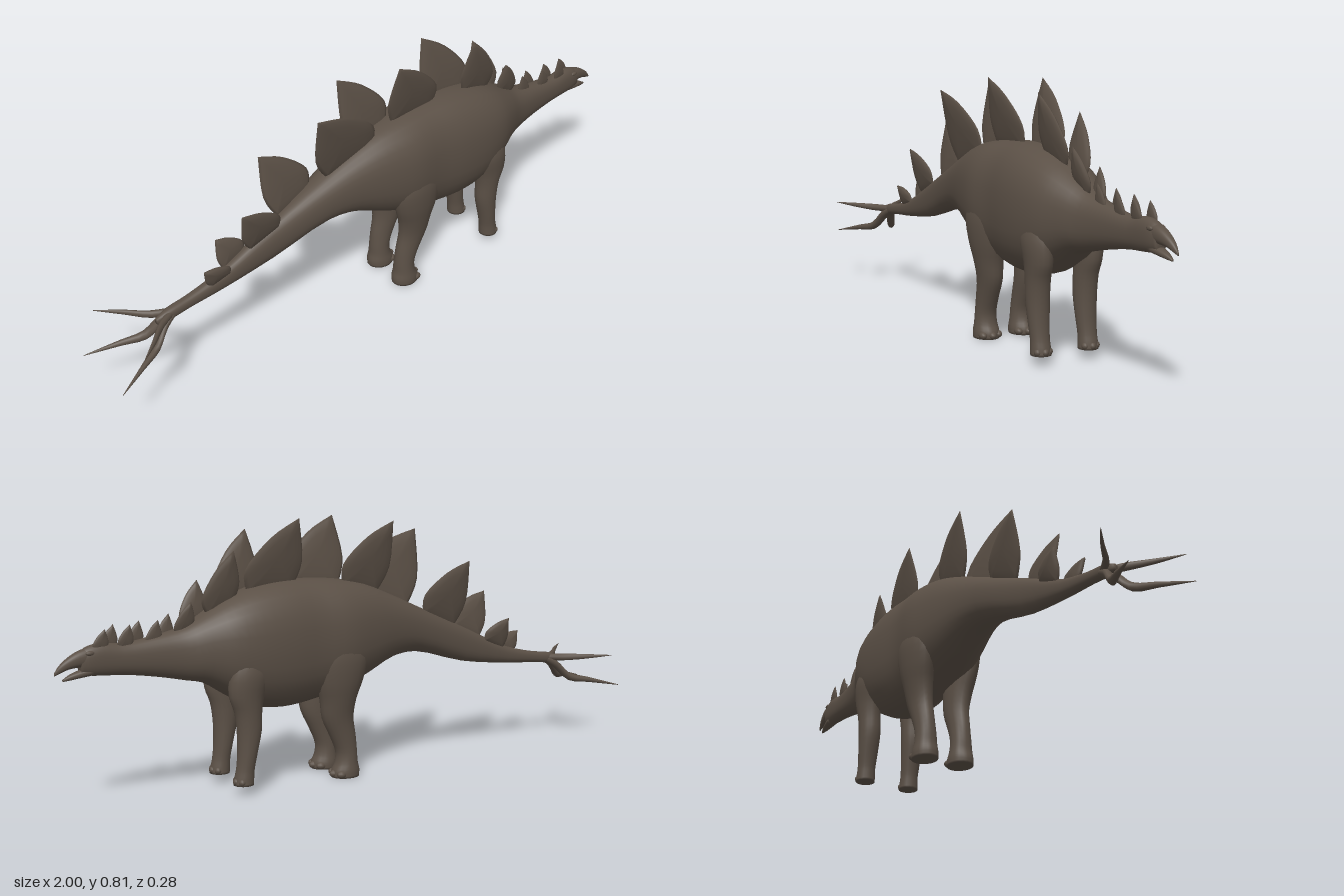
import * as THREE from 'three';

const V = (x, y, z) => new THREE.Vector3(x, y, z);
const hide = new THREE.MeshStandardMaterial({ color: 0x5b5046 });
hide.name = 'brown hide';

// Closed skin through a list of rings; steps > 1 smooths along the length
function loft(rings, steps = 1) {
  const n = rings[0].length;
  if (steps > 1) {
    const columns = rings[0].map((_, j) =>
      new THREE.CatmullRomCurve3(rings.map(r => r[j])).getPoints((rings.length - 1) * steps));
    rings = columns[0].map((_, i) => columns.map(c => c[i]));
  }
  const m = rings.length;
  const middle = r => r.reduce((s, p) => s.add(p), V(0, 0, 0)).divideScalar(n);
  const pts = [...rings.flat(), middle(rings[0]), middle(rings[m - 1])];
  const index = [];
  for (let j = 0; j < n; j++) {
    const k = (j + 1) % n;
    for (let i = 0; i < m - 1; i++) {
      const a = i * n + j, b = i * n + k;
      index.push(a, b, a + n, b, b + n, a + n);
    }
    index.push(m * n, k, j, m * n + 1, (m - 1) * n + j, (m - 1) * n + k);
  }
  // Turn the faces outward if the enclosed volume is negative
  let volume = 0;
  const cross = new THREE.Vector3();
  for (let i = 0; i < index.length; i += 3)
    volume += pts[index[i]].dot(cross.crossVectors(pts[index[i + 1]], pts[index[i + 2]]));
  if (volume < 0) index.reverse();
  const geo = new THREE.BufferGeometry().setFromPoints(pts);
  geo.setIndex(index);
  geo.computeVertexNormals();
  return geo;
}

const power = (v, e) => Math.sign(v) * Math.abs(v) ** e;
const around = (n, f) => Array.from({ length: n }, (_, i) => f(i / n * Math.PI * 2));

// Upright cross-section: x, top, bottom, half width
const slice = ([x, top, bottom, w]) => around(28, a => V(x,
  (top + bottom) / 2 + (top - bottom) / 2 * power(Math.sin(a), 0.86), w * power(Math.cos(a), 0.86)));
// Level cross-section: x, y, z, radius x, radius z
const level = side => ([x, y, z, rx, rz]) =>
  around(18, a => V(x + rx * Math.cos(a), y, side * (z + rz * Math.sin(a))));
// Round cross-section of a tail spike: x, y, z, radius
const spikeRing = side => ([x, y, z, r]) =>
  around(10, a => V(x, y + r * Math.cos(a), side * (z + r * Math.sin(a))));

// Leaf-shaped plate: base back x/y, base front x/y, tip x/y, side, sideways lean
function plate([x0, y0, x1, y1, tx, ty], side, lean = 0.17) {
  const tip = new THREE.Vector2(tx, ty);
  const back = new THREE.Vector2(x0, y0 - 0.015), front = new THREE.Vector2(x1, y1 - 0.015);
  const bulge = (end, t, k) => {
    const d = end.clone().sub(tip);
    return tip.clone().addScaledVector(d, t).add(new THREE.Vector2(-d.y, d.x).multiplyScalar(k));
  };
  const backEdge = new THREE.SplineCurve([back, bulge(back, 0.6, -0.12), tip]).getPoints(8);
  const frontEdge = new THREE.SplineCurve(
    [tip, bulge(front, 0.36, 0.16), bulge(front, 0.8, 0.2), front]).getPoints(12);
  const outline = [...backEdge, ...frontEdge.slice(1)];
  const centre = outline.reduce((s, p) => s.add(p), new THREE.Vector2()).divideScalar(outline.length);
  const thick = Math.min(0.011, (x1 - x0) * 0.16), base = Math.min(y0, y1);
  const layers = [[0.3, 1], [0.65, 0.8], [0.9, 0.45], [1, 0], [0.9, -0.45], [0.65, -0.8], [0.3, -1]];
  return loft(layers.map(([s, t]) => outline.map(p => {
    const q = centre.clone().lerp(p, s);
    return V(q.x, q.y, side * (0.012 + lean * (q.y - base)) + t * thick);
  })));
}

export function createModel() {
  const model = new THREE.Group();
  model.name = 'platedDinosaur';
  const add = (name, geo) => {
    const mesh = new THREE.Mesh(geo, hide);
    mesh.name = name;
    model.add(mesh);
    return mesh;
  };

  // Tail, trunk, neck and skull in one skin
  add('body', loft([
    [-0.81, 0.283, 0.263, 0.008], [-0.77, 0.298, 0.262, 0.016], [-0.7, 0.308, 0.27, 0.017],
    [-0.58, 0.338, 0.28, 0.022], [-0.4, 0.42, 0.305, 0.034], [-0.2, 0.51, 0.358, 0.062],
    [-0.1, 0.555, 0.348, 0.083], [0, 0.595, 0.305, 0.108], [0.1, 0.615, 0.268, 0.127],
    [0.2, 0.623, 0.245, 0.123], [0.3, 0.623, 0.236, 0.131], [0.4, 0.608, 0.25, 0.13],
    [0.48, 0.58, 0.293, 0.116], [0.55, 0.542, 0.336, 0.085], [0.61, 0.51, 0.35, 0.058],
    [0.7, 0.49, 0.37, 0.04], [0.8, 0.477, 0.386, 0.03], [0.86, 0.484, 0.39, 0.027],
    [0.9, 0.478, 0.394, 0.024], [0.925, 0.465, 0.4, 0.018],
  ].map(slice), 3));

  // Open beak
  add('upperBeak', loft([[0.89, 0.477, 0.418, 0.022], [0.93, 0.466, 0.42, 0.019],
    [0.96, 0.45, 0.417, 0.014], [0.985, 0.43, 0.408, 0.008], [1, 0.41, 0.402, 0.002]].map(slice), 3));
  add('lowerJaw', loft([[0.89, 0.422, 0.394, 0.02], [0.925, 0.412, 0.39, 0.016],
    [0.955, 0.402, 0.386, 0.01], [0.976, 0.39, 0.384, 0.003]].map(slice), 3));

  const hindLeg = [[0.13, 0.47, 0.08, 0.05, 0.025], [0.12, 0.39, 0.083, 0.09, 0.044],
    [0.122, 0.31, 0.08, 0.08, 0.044], [0.124, 0.25, 0.072, 0.062, 0.041],
    [0.122, 0.19, 0.066, 0.053, 0.036], [0.103, 0.13, 0.064, 0.043, 0.033],
    [0.09, 0.08, 0.063, 0.035, 0.033], [0.09, 0.045, 0.063, 0.037, 0.036],
    [0.093, 0.02, 0.063, 0.046, 0.04], [0.094, 0, 0.063, 0.046, 0.04]];
  const foreLeg = [[0.43, 0.44, 0.08, 0.045, 0.025], [0.435, 0.37, 0.084, 0.065, 0.042],
    [0.445, 0.3, 0.083, 0.056, 0.038], [0.44, 0.25, 0.081, 0.043, 0.036],
    [0.437, 0.19, 0.08, 0.038, 0.035], [0.445, 0.12, 0.08, 0.03, 0.032],
    [0.452, 0.075, 0.08, 0.028, 0.029], [0.456, 0.05, 0.08, 0.03, 0.03],
    [0.458, 0.03, 0.08, 0.031, 0.031]];
  const lowSpike = [[-0.74, 0.285, 0, 0.012], [-0.79, 0.258, 0.012, 0.016],
    [-0.835, 0.212, 0.034, 0.014], [-0.9, 0.198, 0.064, 0.009], [-1, 0.176, 0.108, 0.001]];
  const highSpike = [[-0.75, 0.283, 0, 0.01], [-0.81, 0.281, 0.03, 0.012],
    [-0.87, 0.286, 0.085, 0.008], [-0.935, 0.292, 0.139, 0.001]];

  for (const [side, label] of [[1, 'right'], [-1, 'left']]) {
    // Legs with three blunt toes each
    add(label + 'HindLeg', loft(hindLeg.map(level(side)), 3));
    add(label + 'ForeLeg', loft(foreLeg.map(level(side)), 3));
    for (let i = -1; i <= 1; i++) {
      const spread = Math.abs(i);
      const hindToe = add(label + 'HindToe', new THREE.SphereGeometry(0.014, 12, 8));
      hindToe.scale.set(1.2, 0.85, 0.9);
      hindToe.position.set(0.133 - 0.012 * spread, 0.012, side * 0.063 + i * 0.026);
      const foreToe = add(label + 'ForeToe', new THREE.SphereGeometry(0.011, 12, 8));
      foreToe.position.set(0.482 - 0.01 * spread, 0.041, side * 0.08 + i * 0.019);
    }
    // Paired tail spikes
    add(label + 'LowerTailSpike', loft(lowSpike.map(spikeRing(side)), 3));
    add(label + 'UpperTailSpike', loft(highSpike.map(spikeRing(side)), 3));
    // Brow bump
    const brow = add(label + 'Brow', new THREE.SphereGeometry(0.009, 12, 8));
    brow.scale.set(1.5, 0.8, 0.7);
    brow.position.set(0.9, 0.46, side * 0.019);
  }

  // Back plates, alternating sides from tail to neck
  [
    [-0.62, 0.325, -0.55, 0.345, -0.65, 0.382], [-0.56, 0.345, -0.48, 0.38, -0.573, 0.437],
    [-0.475, 0.39, -0.37, 0.43, -0.515, 0.527], [-0.355, 0.44, -0.23, 0.49, -0.392, 0.643],
    [-0.18, 0.515, -0.01, 0.565, -0.243, 0.748], [-0.05, 0.57, 0.07, 0.6, -0.093, 0.787],
    [0.075, 0.605, 0.24, 0.612, 0.073, 0.806], [0.25, 0.61, 0.4, 0.6, 0.243, 0.81],
    [0.37, 0.605, 0.475, 0.575, 0.377, 0.778], [0.45, 0.58, 0.53, 0.545, 0.46, 0.725],
    [0.53, 0.545, 0.595, 0.515, 0.545, 0.637], [0.585, 0.515, 0.63, 0.497, 0.592, 0.583],
  ].forEach((p, i) => add('backPlate', plate(p, i % 2 ? -1 : 1)));

  // Small neck spines
  [[0.645, 0.548], [0.692, 0.537], [0.738, 0.535], [0.778, 0.531], [0.817, 0.531], [0.853, 0.524]]
    .forEach(([x, y], i) => add('neckSpine',
      plate([x - 0.006, 0.48, x + 0.03, 0.477, x, y], i % 2 ? -1 : 1, 0.05)));

  return model;
}
